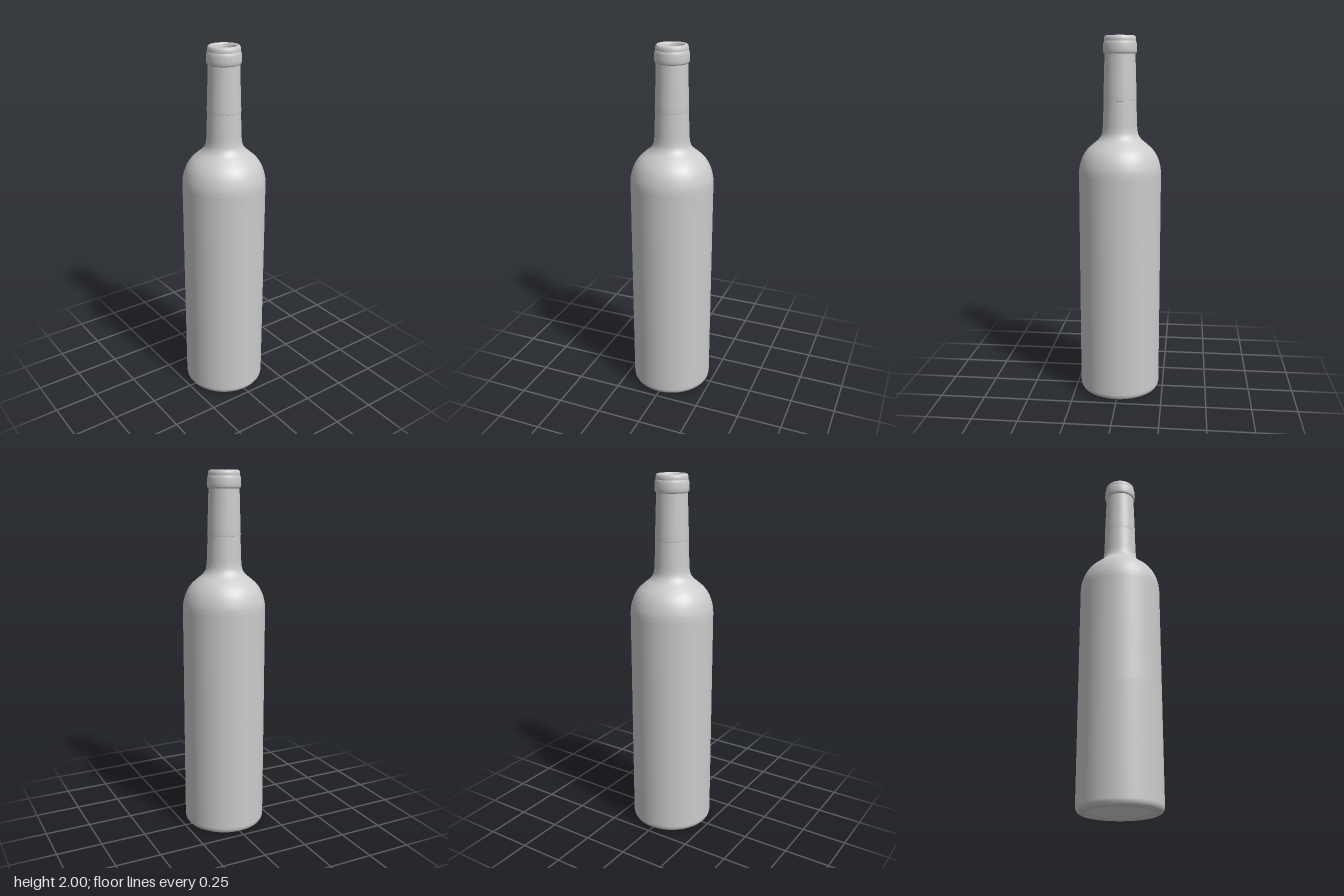
import * as THREE from 'three';

const SIDES = 96;

// Turns a list of [radius, height] points into a smooth solid of revolution.
function turned(name, points, smooth = 0) {
  let profile = points.map(([r, y]) => new THREE.Vector2(r, y));
  if (smooth) profile = new THREE.SplineCurve(profile).getPoints(smooth);
  profile.forEach((p) => { p.x = Math.max(p.x, 0); });
  const mesh = new THREE.Mesh(
    new THREE.LatheGeometry(profile, SIDES),
    new THREE.MeshStandardMaterial({ color: 0xcccccc, side: THREE.DoubleSide })
  );
  mesh.name = name;
  return mesh;
}

export function createModel() {
  const bottle = new THREE.Group();
  bottle.name = 'bottle';

  // Hollow base rising to a rounded cone inside the foot ring
  bottle.add(turned('punt', [
    [0, 0.2], [0.025, 0.192], [0.06, 0.15], [0.105, 0.085],
    [0.15, 0.03], [0.172, 0.008], [0.19, 0],
  ], 32));

  // Rounded heel and straight body
  bottle.add(turned('body', [
    [0.19, 0], [0.205, 0.002], [0.217, 0.009], [0.224, 0.02],
    [0.227, 0.036], [0.227, 0.65], [0.227, 1.26],
  ]));

  // Domed shoulder sweeping into the neck
  bottle.add(turned('shoulder', [
    [0.227, 1.26], [0.223, 1.3], [0.207, 1.351], [0.182, 1.391], [0.15, 1.421],
    [0.12, 1.446], [0.102, 1.472], [0.095, 1.505], [0.093, 1.55],
  ], 40));

  // Lower neck, and the thin sleeve that starts part way up it
  bottle.add(turned('neck', [[0.093, 1.55], [0.091, 1.6], [0.089, 1.66]]));
  bottle.add(turned('neckSleeve', [
    [0.089, 1.658], [0.0905, 1.66], [0.0895, 1.7], [0.086, 1.8], [0.083, 1.905],
  ]));

  // Raised collar and rounded lip
  bottle.add(turned('collar', [
    [0.083, 1.905], [0.087, 1.907], [0.0905, 1.914], [0.0915, 1.93],
    [0.0905, 1.955], [0.088, 1.966], [0.085, 1.971],
  ]));
  bottle.add(turned('lip', [
    [0.085, 1.971], [0.086, 1.98], [0.084, 1.992], [0.078, 1.999],
    [0.072, 2], [0.065, 1.997], [0.061, 1.988], [0.06, 1.975],
  ]));

  // Inside of the mouth and the stopper below it
  bottle.add(turned('mouthWall', [[0.06, 1.975], [0.06, 1.88]]));
  bottle.add(turned('stopper', [[0.06, 1.88], [0, 1.88]]));

  return bottle;
}
